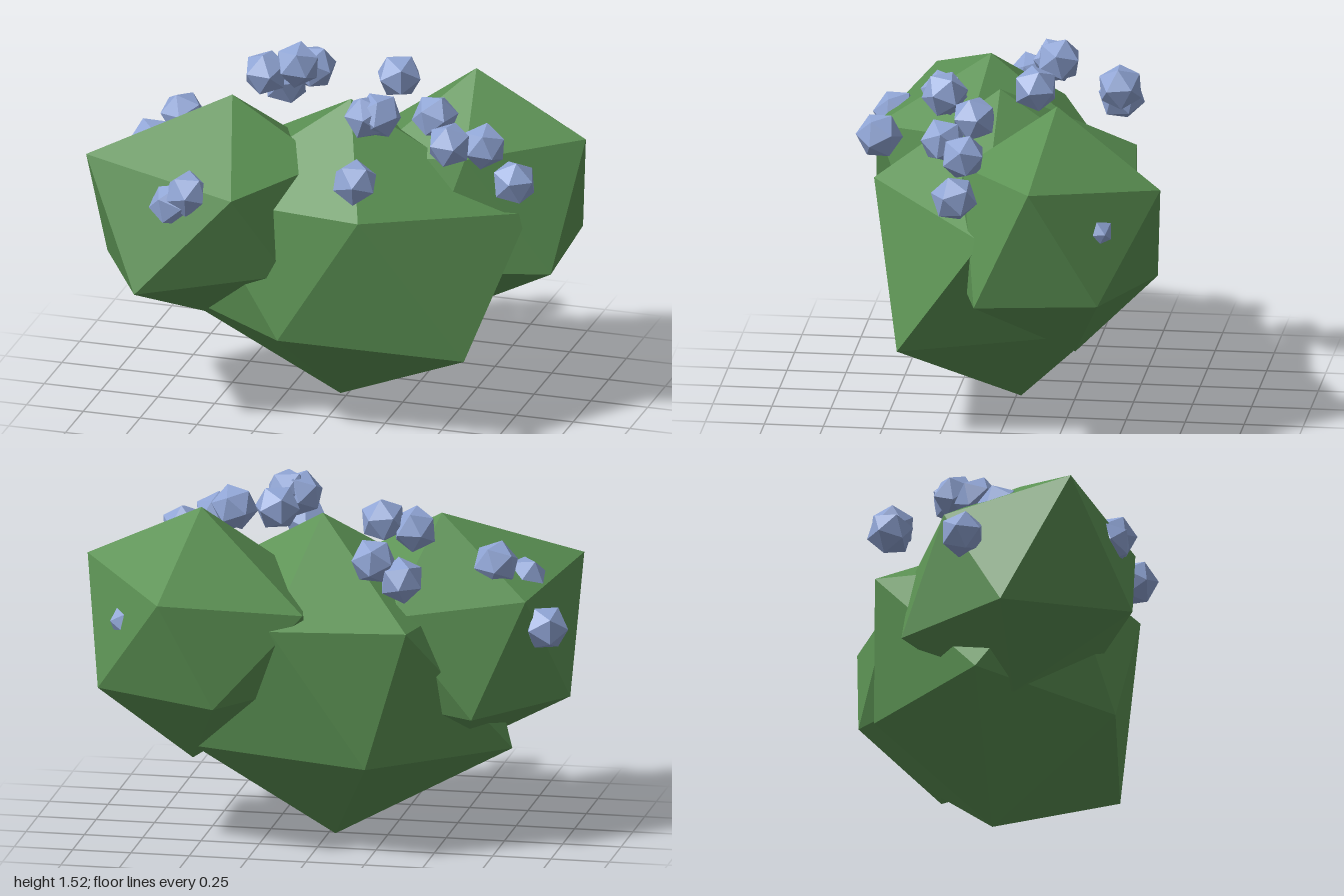
import * as THREE from 'three';
import { ConvexGeometry } from 'three/addons/geometries/ConvexGeometry.js';

const leafGreen = new THREE.MeshStandardMaterial({ color: 0x5b9153 });
leafGreen.name = 'leaf green';
const berryBlue = new THREE.MeshStandardMaterial({ color: 0x90a5d5 });
berryBlue.name = 'berry blue';

// Each clump is an uneven icosahedron: top, upper ring of five, lower ring of five, bottom
const clumps = {
  middleClump: [
    [0.04, 1.37, 0.06],
    [0.23, 1.02, 0.57], [-0.55, 0.97, 0.36], [-0.42, 1.0, -0.46], [0.15, 1.0, -0.53], [0.82, 0.94, 0.04],
    [0.65, 0.39, 0.42], [-0.14, 0.43, 0.52], [-0.78, 0.4, 0.02], [-0.25, 0.41, -0.49], [0.5, 0.45, -0.39],
    [-0.03, 0, -0.02],
  ],
  rightClump: [
    [-0.45, 1.37, 0.16],
    [-1.0, 1.15, 0.46], [-0.31, 1.08, 0.63], [-0.02, 1.13, 0.21], [-0.32, 1.03, -0.32], [-0.86, 1.07, -0.1],
    [-0.72, 0.63, 0.68], [-1.0, 0.6, 0.16], [-0.67, 0.6, -0.31], [-0.1, 0.63, -0.1], [-0.12, 0.7, 0.45],
    [-0.56, 0.37, 0.15],
  ],
  leftClump: [
    [0.5, 1.45, -0.24],
    [1.0, 1.21, -0.18], [0.6, 1.13, -0.69], [0.02, 1.06, -0.47], [0.1, 1.1, 0.02], [0.57, 1.19, 0.15],
    [0.92, 0.68, 0.06], [0.9, 0.7, -0.46], [0.37, 0.68, -0.65], [0.02, 0.7, -0.22], [0.4, 0.68, 0.2],
    [0.52, 0.38, -0.32],
  ],
};

// Berry centres, grouped by where they sit on the bush
const berries = {
  rightBerries: [
    [-0.93, 0.94, -0.01], [-0.71, 1.2, 0.02], [-0.81, 1.11, 0.13],
    [-0.52, 1.07, 0.57], [-0.59, 1.01, 0.56],
    [-0.39, 1.37, -0.12], [-0.26, 1.41, -0.15], [-0.39, 1.22, -0.4], [-0.27, 1.3, -0.41],
  ],
  leftBerries: [
    [0.2, 1.43, -0.11], [0.18, 1.39, 0.28], [0.23, 1.4, 0.27], [0.21, 1.2, 0.55],
    [0.43, 1.36, 0.12], [0.53, 1.29, 0.24], [0.65, 1.26, 0.14], [0.79, 1.12, 0.16],
    [0.76, 0.99, -0.43],
  ],
};

export function createModel() {
  const bush = new THREE.Group();
  bush.name = 'berryBush';

  // Leaf clumps
  for (const [name, points] of Object.entries(clumps)) {
    const geometry = new ConvexGeometry(points.map((p) => new THREE.Vector3(...p)));
    const mesh = new THREE.Mesh(geometry, leafGreen);
    mesh.name = name;
    bush.add(mesh);
  }

  // Faceted berries, each turned differently
  const berryShape = new THREE.IcosahedronGeometry(0.1, 0);
  for (const [name, centres] of Object.entries(berries)) {
    const group = new THREE.Group();
    group.name = name;
    centres.forEach((c, i) => {
      const berry = new THREE.Mesh(berryShape, berryBlue);
      berry.name = 'berry';
      berry.position.set(...c);
      berry.rotation.set(i * 1.3, i * 2.1 + 0.4, i * 0.7);
      group.add(berry);
    });
    bush.add(group);
  }
  return bush;
}
